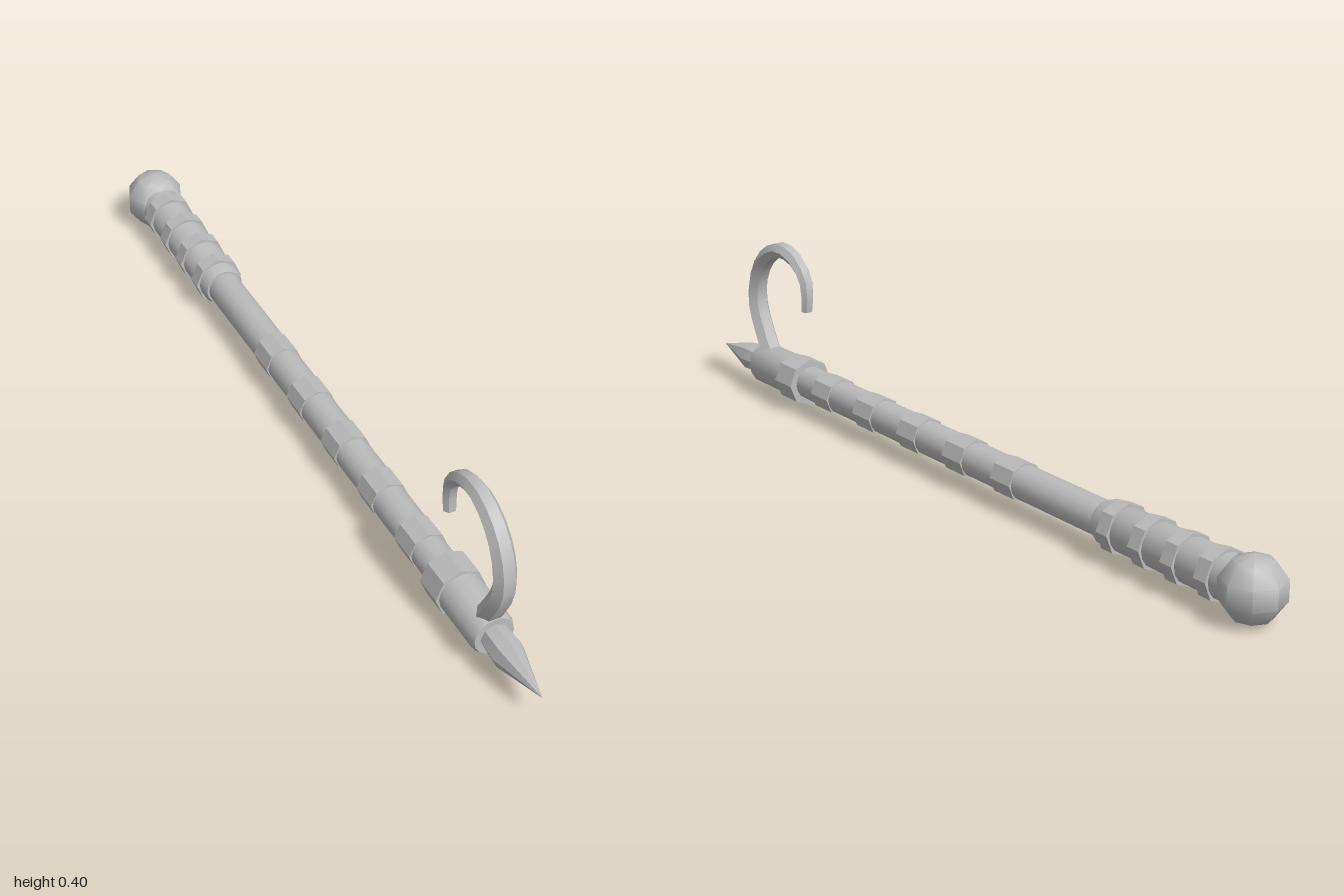
import * as THREE from 'three';
import { toCreasedNormals } from 'three/addons/utils/BufferGeometryUtils.js';

const AXIS_Y = 0.0735; // height of the staff's long axis
const CREASE = 0.7;

export function createModel() {
  const model = new THREE.Group();
  model.name = 'hookedStaff';
  const metal = new THREE.MeshStandardMaterial({ color: 0xbcbcbc });
  metal.name = 'light grey metal';

  const add = (name, geometry, y = AXIS_Y, z = 0) => {
    const mesh = new THREE.Mesh(toCreasedNormals(geometry, CREASE), metal);
    mesh.name = name;
    mesh.position.set(0, y, z);
    model.add(mesh);
  };

  // Turned part along z from [radius, z] pairs, listed back to front
  const turned = (name, profile, sides) => {
    const points = profile.map(([r, z]) => new THREE.Vector2(r, z));
    add(name, new THREE.LatheGeometry(points, sides).rotateX(Math.PI / 2));
  };

  // Plain band around the axis
  const band = (name, radius, length, z, sides = 8) =>
    add(name, new THREE.CylinderGeometry(radius, radius, length, sides).rotateX(Math.PI / 2), AXIS_Y, z);

  // Shaft with its raised bands
  band('shaft', 0.04, 1.14, 0.06, 16);
  for (let i = 0; i < 5; i++) band('shaftBand', 0.045, 0.068, 0.502 - i * 0.175);

  // Ribbed grip
  turned('grip', [[0, -0.89], [0.05, -0.89], [0.05, -0.512], [0.045, -0.5], [0, -0.5]], 16);
  for (let i = 0; i < 4; i++) band('gripRing', 0.058, 0.034, -0.55 - i * 0.097);

  // Faceted pommel
  add('pommel', new THREE.SphereGeometry(0.0728, 8, 5), AXIS_Y, -0.931);

  // Head: collar, its ring and the spike
  turned('collar', [[0, 0.612], [0.05, 0.612], [0.05, 0.8], [0.045, 0.812], [0, 0.812]], 16);
  band('collarRing', 0.058, 0.068, 0.64);
  turned('spike', [[0, 0.79], [0.03, 0.79], [0.0355, 0.868], [0, 1]], 8);

  // Curled hook
  add('hook', hookGeometry(), 0);
  return model;
}

// Tapered six-sided sweep along a curl in the yz plane
function hookGeometry() {
  const path = new THREE.CatmullRomCurve3([
    [0.1, 0.775], [0.15, 0.805], [0.225, 0.836], [0.295, 0.826], [0.352, 0.785],
    [0.382, 0.72], [0.365, 0.652], [0.316, 0.613], [0.252, 0.614],
  ].map(([y, z]) => new THREE.Vector3(0, y, z)));
  const steps = 16, sides = 6;
  const side = new THREE.Vector3(1, 0, 0);
  const positions = [], index = [];

  for (let i = 0; i <= steps; i++) {
    const t = i / steps;
    const center = path.getPointAt(t);
    const normal = path.getTangentAt(t).cross(side);
    const radius = 0.028 - 0.013 * t * t;
    for (let j = 0; j < sides; j++) {
      const a = (j / sides) * Math.PI * 2;
      const p = center.clone()
        .addScaledVector(side, Math.cos(a) * radius)
        .addScaledVector(normal, Math.sin(a) * radius * 0.85);
      positions.push(p.x, p.y, p.z);
    }
  }
  for (let i = 0; i < steps; i++) {
    for (let j = 0; j < sides; j++) {
      const k = (j + 1) % sides;
      const a = i * sides + j, b = i * sides + k;
      index.push(a, b, b + sides, a, b + sides, a + sides);
    }
  }
  // End caps
  const last = steps * sides;
  for (let j = 1; j < sides - 1; j++) {
    index.push(0, j + 1, j, last, last + j, last + j + 1);
  }
  const geometry = new THREE.BufferGeometry();
  geometry.setAttribute('position', new THREE.Float32BufferAttribute(positions, 3));
  geometry.setIndex(index);
  return geometry;
}
